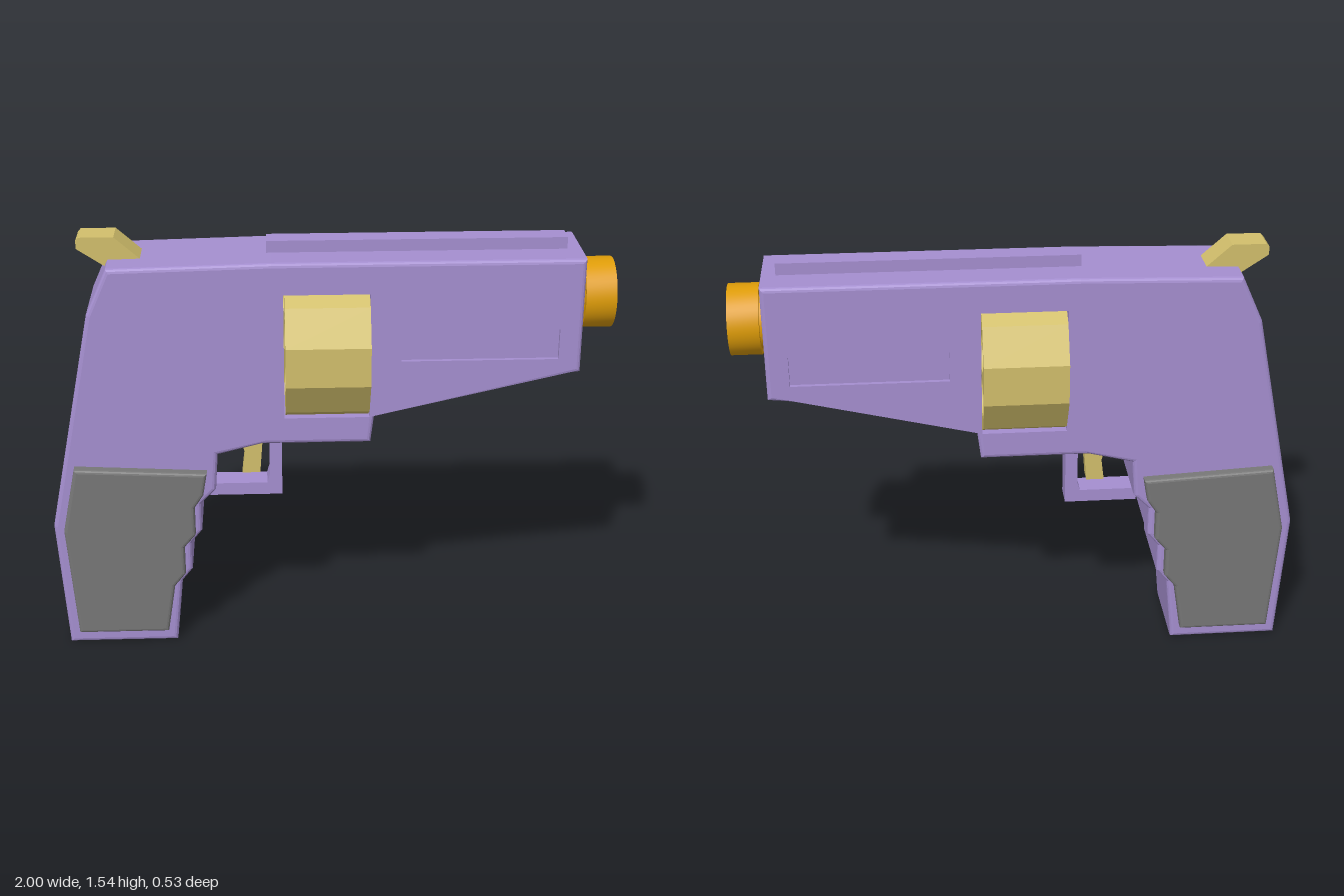
import * as THREE from 'three';
import { toCreasedNormals } from 'three/addons/utils/BufferGeometryUtils.js';

const material = (name, color) => {
  const m = new THREE.MeshStandardMaterial({ color });
  m.name = name;
  return m;
};

const toShape = pts => new THREE.Shape(pts.map(p => new THREE.Vector2(p[0], p[1])));

// Side profile extruded symmetrically about z = 0, with edges rounded inside the outline.
function profile(pts, width, bevel = 0, holes = []) {
  const shape = toShape(pts);
  for (const [x0, x1, y0, y1] of holes) {
    shape.holes.push(toShape([[x0, y0], [x0, y1], [x1, y1], [x1, y0]]));
  }
  const geo = new THREE.ExtrudeGeometry(shape, {
    depth: width - 2 * bevel, bevelEnabled: bevel > 0, bevelThickness: bevel,
    bevelSize: bevel, bevelOffset: -bevel, bevelSegments: 3
  });
  geo.translate(0, 0, bevel - width / 2);
  // Keep the rims of the holes sharp
  const pos = geo.attributes.position;
  for (let i = 0; i < pos.count; i++) {
    const x = pos.getX(i), y = pos.getY(i);
    for (const [x0, x1, y0, y1] of holes) {
      if (x > x0 - 0.02 && x < x1 + 0.02 && y > y0 - 0.02 && y < y1 + 0.02) {
        pos.setXY(i, x < (x0 + x1) / 2 ? x0 : x1, y < (y0 + y1) / 2 ? y0 : y1);
      }
    }
  }
  geo.computeVertexNormals();
  return geo;
}

// Turned part whose axis runs along +x
function turned(pts, x, y) {
  const lathe = new THREE.LatheGeometry(pts.map(p => new THREE.Vector2(p[0], p[1])), 40);
  return toCreasedNormals(lathe, 0.5).rotateZ(-Math.PI / 2).translate(x, y, 0);
}

export function createModel() {
  const group = new THREE.Group();
  const purple = material('purple', 0xa58fd0);
  const tan = material('tan', 0xd2bf6c);
  const grey = material('grey', 0x777777);
  const orange = material('orange', 0xde9c08);

  const add = (name, geometry, mat) => {
    const mesh = new THREE.Mesh(geometry, mat);
    mesh.name = name;
    group.add(mesh);
    return mesh;
  };
  const box = (name, x0, x1, y0, y1, width, mat) => {
    const geo = new THREE.BoxGeometry(x1 - x0, y1 - y0, width);
    geo.translate((x0 + x1) / 2, (y0 + y1) / 2, 0);
    return add(name, geo, mat);
  };

  // Body with drum window and side slot
  const drumWindow = [-0.16, 0.14, 0.905, 1.365];
  const slot = [0.25, 0.8, 1.115, 1.225];
  add('body', profile([
    [-0.97, 0], [-0.57, 0], [-0.545, 0.25], [-0.505, 0.3], [-0.505, 0.41],
    [-0.465, 0.46], [-0.465, 0.57], [-0.41, 0.625], [-0.4, 0.765], [-0.24, 0.805],
    [0.145, 0.805], [0.167, 0.985], [0.88, 1.063], [0.88, 1.478], [-0.2, 1.478],
    [-0.76, 1.465], [-0.835, 1.3], [-1, 0.49]
  ], 0.325, 0.015, [drumWindow, slot]), purple);
  box('slotFloor', ...slot, 0.295, purple);
  box('topRail', -0.215, 0.83, 1.46, 1.52, 0.08, purple);

  // Grip panels on both sides
  const panel = [
    [-0.93, 0.06], [-0.6, 0.06], [-0.57, 0.25], [-0.53, 0.3], [-0.53, 0.41],
    [-0.488, 0.46], [-0.488, 0.57], [-0.455, 0.62], [-0.44, 0.707], [-0.91, 0.732],
    [-0.96, 0.485]
  ];
  for (const side of [1, -1]) {
    add(side > 0 ? 'frontGripPanel' : 'backGripPanel', profile(panel, 0.06, 0.012), grey)
      .position.z = side * 0.17;
  }

  // Twelve-sided drum with six open chambers
  const drum = toShape(Array.from({ length: 12 }, (_, i) => {
    const a = (i + 0.5) * Math.PI / 6;
    return [0.274 * Math.cos(a), 0.274 * Math.sin(a)];
  }));
  for (let i = 0; i < 6; i++) {
    const a = (i + 0.5) * Math.PI / 3;
    const hole = new THREE.Path();
    hole.absarc(0.17 * Math.cos(a), 0.17 * Math.sin(a), 0.075, 0, Math.PI * 2, true);
    drum.holes.push(hole);
  }
  const drumGeo = new THREE.ExtrudeGeometry(drum, { depth: 0.294, bevelEnabled: false, curveSegments: 24 });
  drumGeo.rotateY(Math.PI / 2).translate(-0.156, 1.135, 0);
  add('drum', toCreasedNormals(drumGeo, 0.4), tan);

  // Trigger and its guard
  add('triggerGuard', profile([
    [-0.435, 0.548], [-0.17, 0.548], [-0.17, 0.79], [-0.18, 0.81], [-0.215, 0.81],
    [-0.215, 0.63], [-0.225, 0.595], [-0.435, 0.595]
  ], 0.092), purple);
  add('trigger', profile([
    [-0.315, 0.63], [-0.25, 0.63], [-0.235, 0.82], [-0.32, 0.82], [-0.32, 0.77], [-0.305, 0.71]
  ], 0.06), tan);

  // Hammer
  add('hammer', profile([
    [-0.865, 1.505], [-0.76, 1.435], [-0.64, 1.46], [-0.735, 1.545], [-0.855, 1.545], [-0.865, 1.535]
  ], 0.108), tan);

  // Muzzle ring, bore lining and centre pin
  add('muzzle', turned([
    [0.105, -0.005], [0.105, 0.012], [0.125, 0.012], [0.125, 0.12], [0.084, 0.12], [0.084, 0.1]
  ], 0.88, 1.305), orange);
  add('boreLining', turned([[0.085, 0.112], [0.078, 0.112], [0.078, -0.005]], 0.88, 1.305), tan);
  add('borePin', turned([[0.032, -0.005], [0.032, 0.006], [0, 0.006]], 0.88, 1.305), tan);

  return group;
}
